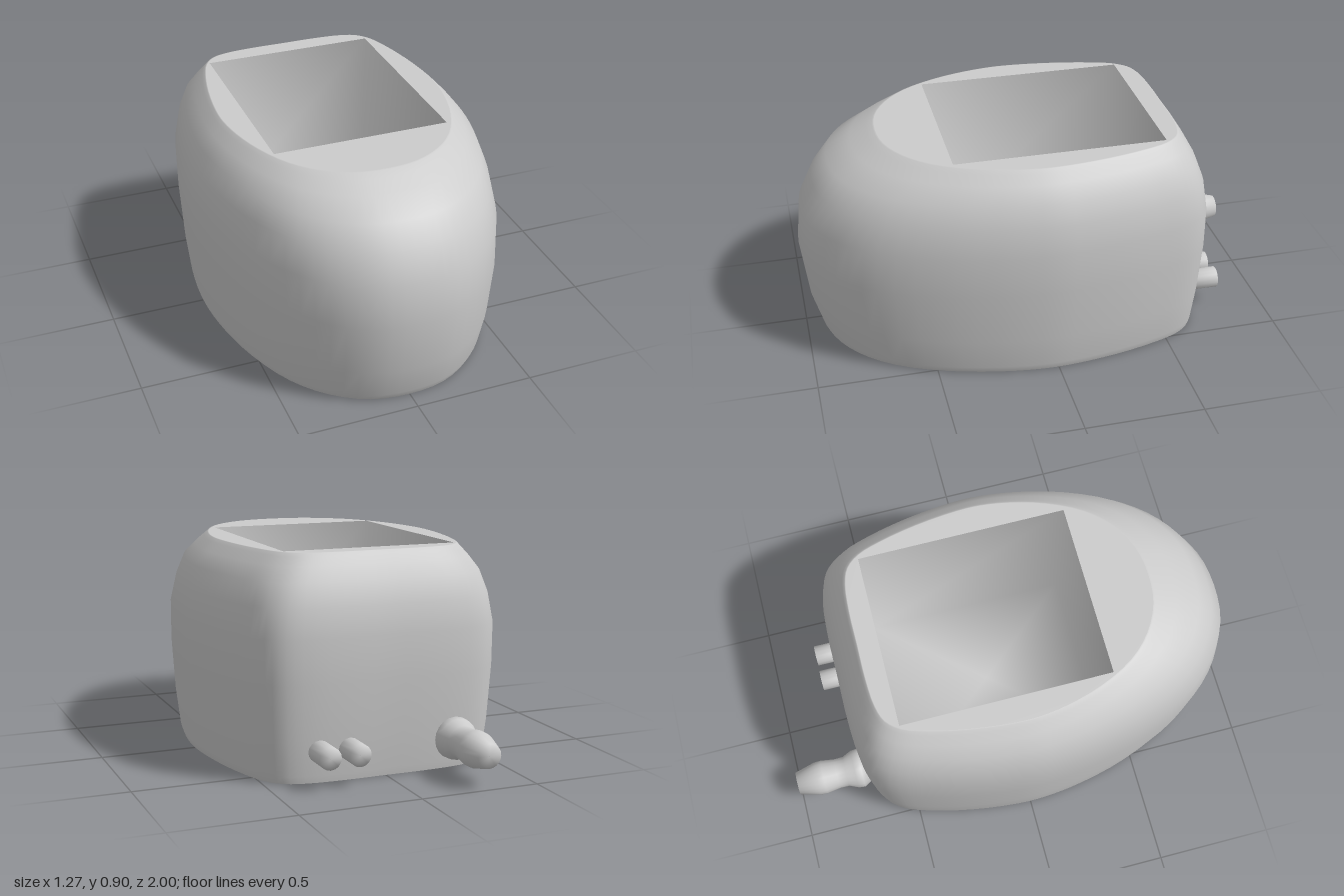
import * as THREE from 'three';

const grey = () => new THREE.MeshStandardMaterial({ color: 0xcccccc, side: THREE.DoubleSide });

function add(group, name, geometry) {
  const mesh = new THREE.Mesh(geometry, grey());
  mesh.name = name;
  group.add(mesh);
  return mesh;
}

// Smooth skin over closed rings that all have the same number of points.
function loft(rings) {
  const n = rings[0].length;
  const index = [];
  for (let i = 0; i < rings.length - 1; i++) {
    for (let j = 0; j < n; j++) {
      const k = (j + 1) % n;
      const a = i * n + j, b = i * n + k, c = a + n, d = b + n;
      index.push(a, b, d, a, d, c);
    }
  }
  const geometry = new THREE.BufferGeometry();
  geometry.setAttribute('position', new THREE.Float32BufferAttribute(rings.flat(2), 3));
  geometry.setIndex(index);
  geometry.computeVertexNormals();
  return geometry;
}

// Egg-shaped plan with a pointed front and a squarer back: [half width, z].
const halfPlan = [
  [0, 0.998], [0.17, 0.972], [0.325, 0.877], [0.45, 0.727], [0.55, 0.5], [0.608, 0.27],
  [0.632, 0.08], [0.632, -0.06], [0.605, -0.28], [0.558, -0.48], [0.512, -0.6],
  [0.45, -0.667], [0.36, -0.697], [0.2, -0.71], [0, -0.71],
];
const mirrored = halfPlan.slice(1, -1).reverse().map(([x, z]) => [-x, z]);
const plan = new THREE.CatmullRomCurve3(
  [...halfPlan, ...mirrored].map(([x, z]) => new THREE.Vector3(x, 0, z)), true,
).getPoints(84).slice(0, -1);

// Body levels: [height, half width, front z, back z].
const levels = [
  [0, 0.595, 0.92, 0.67], [0.03, 0.605, 0.935, 0.675], [0.17, 0.62, 0.975, 0.69],
  [0.4, 0.633, 1.002, 0.705], [0.58, 0.635, 0.983, 0.705], [0.7, 0.612, 0.925, 0.688],
  [0.79, 0.58, 0.855, 0.655], [0.85, 0.532, 0.75, 0.622], [0.885, 0.498, 0.68, 0.6],
  [0.899, 0.486, 0.652, 0.59], [0.9, 0.481, 0.645, 0.586],
];
const ringAt = ([y, w, front, back]) => plan.map((p) => [
  p.x * w / 0.635, y, p.z > 0 ? p.z * front : p.z * back / 0.71,
]);

// Corners of the rectangular opening: [x, z].
const opening = [[-0.375, 0.385], [0.37, 0.385], [0.37, -0.5], [-0.375, -0.5]];

export function createModel() {
  const model = new THREE.Group();
  model.name = 'basin';

  // Rounded outer shell
  const rings = levels.map(ringAt);
  add(model, 'bodyShell', loft(rings));

  // Flat rim around the opening
  const rim = new THREE.Shape(rings.at(-1).map(([x, , z]) => new THREE.Vector2(x, -z)));
  rim.holes.push(new THREE.Path(opening.map(([x, z]) => new THREE.Vector2(x, -z))));
  add(model, 'topRim', new THREE.ShapeGeometry(rim).rotateX(-Math.PI / 2).translate(0, 0.9, 0));

  // Flat underside
  const base = new THREE.Shape(rings[0].map(([x, , z]) => new THREE.Vector2(x, z)));
  add(model, 'underside', new THREE.ShapeGeometry(base).rotateX(Math.PI / 2));

  // Inner well, softly shaded towards its floor
  const wellRing = (y, s) => opening.map(([x, z]) => [x * s, y, (z + 0.055) * s - 0.055]);
  add(model, 'innerWell', loft([wellRing(0.9, 1), wellRing(0.1, 1), wellRing(0.1, 0)]));

  // Drain pipe with a bulged root and a swollen nozzle: [radius, distance along pipe]
  const pipeProfile = [
    [0.001, 0], [0.07, 0], [0.088, 0.03], [0.085, 0.06], [0.067, 0.1], [0.066, 0.14],
    [0.075, 0.2], [0.074, 0.23], [0.05, 0.32], [0.001, 0.32],
  ].map(([r, d]) => new THREE.Vector2(r, d));
  const pipe = add(model, 'drainPipe', new THREE.LatheGeometry(pipeProfile, 20).rotateX(-Math.PI / 2));
  pipe.position.set(-0.286, 0.135, -0.68);

  // Pair of short, softly shaded inlet pegs
  const pegProfile = [[0.001, 0], [0.046, 0], [0.046, 0.13], [0.001, 0.13]]
    .map(([r, d]) => new THREE.Vector2(r, d));
  for (const [name, x] of [['innerPeg', 0.165], ['outerPeg', 0.29]]) {
    const peg = add(model, name, new THREE.LatheGeometry(pegProfile, 16).rotateX(-Math.PI / 2));
    peg.position.set(x, 0.132, -0.665);
  }
  return model;
}
